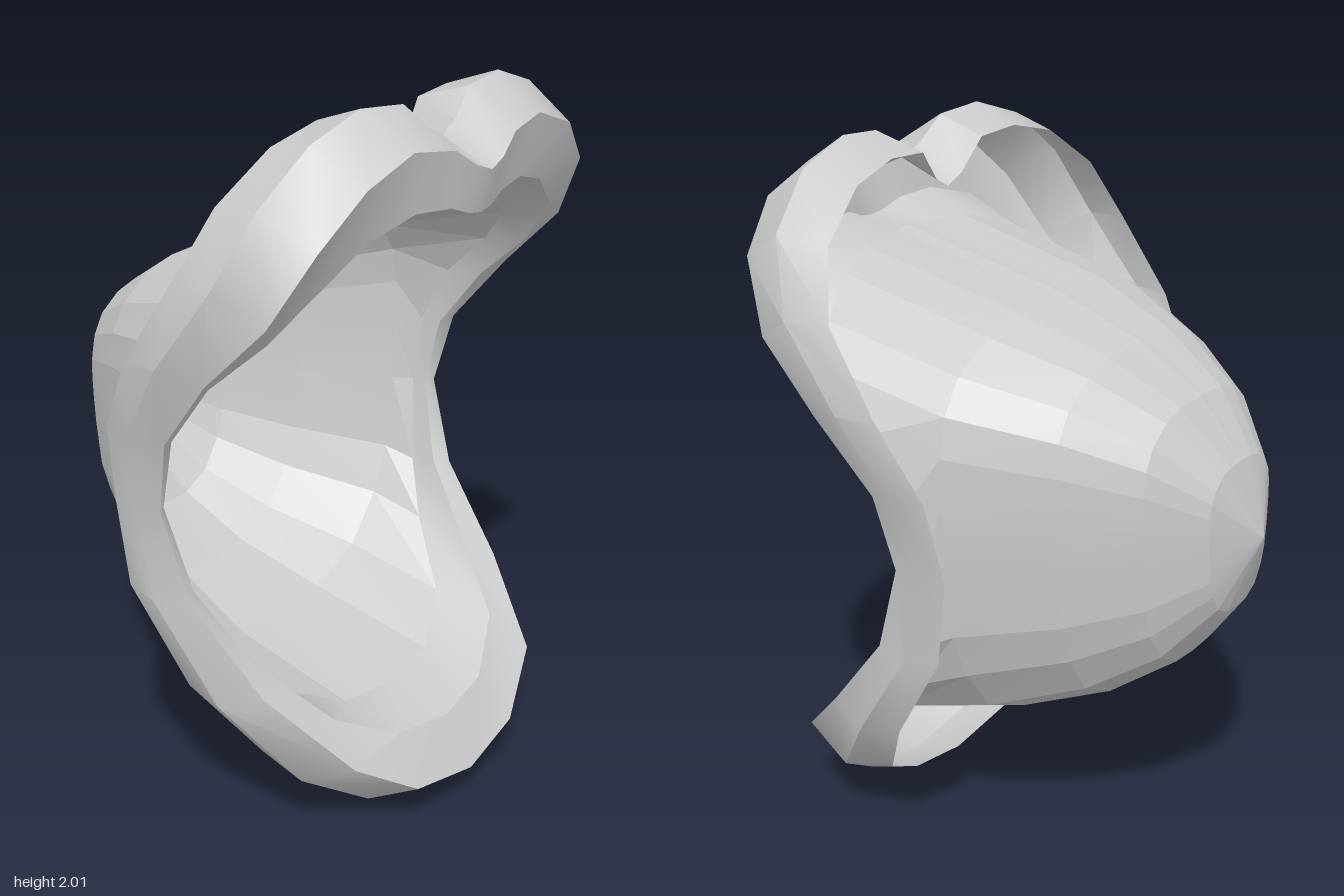
import * as THREE from 'three';
import { toCreasedNormals } from 'three/addons/utils/BufferGeometryUtils.js';

// Half rails of the lips, from bottom centre around the left side to top centre
const BACK = [
  [0, 0.04, 0.36], [0.24, 0.09, 0.34], [0.45, 0.21, 0.27], [0.59, 0.43, 0.13], [0.63, 0.7, -0.04],
  [0.64, 0.95, -0.075], [0.69, 1.18, -0.05], [0.735, 1.39, 0.06], [0.72, 1.62, 0.21], [0.63, 1.8, 0.275],
  [0.46, 1.92, 0.31], [0.29, 1.96, 0.325], [0.14, 1.95, 0.335], [0.06, 1.86, 0.35], [0, 1.83, 0.355]];
const CREST = [
  [0, 0.09, 0.67], [0.24, 0.13, 0.65], [0.44, 0.26, 0.58], [0.57, 0.46, 0.37], [0.62, 0.7, 0.165],
  [0.64, 0.95, 0.085], [0.67, 1.16, 0.13], [0.7, 1.36, 0.29], [0.68, 1.54, 0.47], [0.61, 1.73, 0.57],
  [0.47, 1.86, 0.61], [0.29, 1.92, 0.62], [0.14, 1.9, 0.64], [0.06, 1.85, 0.655], [0, 1.83, 0.66]];
const INNER = [
  [0, 0.28, 0.4], [0.2, 0.29, 0.37], [0.39, 0.38, 0.28], [0.51, 0.54, 0.13], [0.57, 0.7, 0.06],
  [0.605, 0.95, 0.03], [0.615, 1.15, 0.05], [0.615, 1.32, 0.14], [0.59, 1.45, 0.28], [0.52, 1.56, 0.38],
  [0.38, 1.65, 0.42], [0.23, 1.69, 0.47], [0.11, 1.695, 0.49], [0.05, 1.695, 0.5], [0, 1.7, 0.5]];
const CENTRE_Y = 0.98;

const closeRing = (half) => [
  ...half,
  ...half.slice(1, -1).reverse().map(([x, y, z]) => [-x, y, z]),
];

// Halfway rail between two rails, bulged radially and forward, fullest away from the mouth corners
function bulgedRail(a, b, radial, forward) {
  return a.map((p, i) => {
    const [x, y, z] = p.map((v, k) => (v + b[i][k]) / 2);
    const bulge = 0.015 + 0.06 * Math.abs(y - 0.95);
    const s = (bulge * radial) / Math.hypot(x, y - CENTRE_Y);
    return [x + x * s, y + (y - CENTRE_Y) * s, z + bulge * forward];
  });
}

// Skin closed rings in order, optionally finishing in a point
function skin(rings, crease, tip) {
  const pos = [];
  const n = rings[0].length;
  for (let r = 0; r < rings.length; r++) {
    for (let i = 0; i < n; i++) {
      const j = (i + 1) % n;
      const a = rings[r][i], b = rings[r][j];
      if (r + 1 < rings.length) {
        const c = rings[r + 1][j], d = rings[r + 1][i];
        pos.push(...a, ...b, ...c, ...a, ...c, ...d);
      } else if (tip) pos.push(...a, ...b, ...tip);
    }
  }
  const geo = new THREE.BufferGeometry();
  geo.setAttribute('position', new THREE.Float32BufferAttribute(pos, 3));
  return toCreasedNormals(geo, crease);
}

export function createModel() {
  const group = new THREE.Group();
  group.name = 'openMouth';
  const material = new THREE.MeshStandardMaterial({ color: 0xcccccc, side: THREE.DoubleSide });
  const add = (name, geo) => {
    const mesh = new THREE.Mesh(geo, material);
    mesh.name = name;
    group.add(mesh);
  };

  // Lips: an open strip curling from the back edge over the crest to the inner rim
  const rails = [BACK, bulgedRail(BACK, CREST, 1, 0), CREST, bulgedRail(CREST, INNER, -0.8, 0.8), INNER];
  add('lips', skin(rails.map(closeRing), 0.6));

  // Mouth cavity: the inner rim shrinks through flat loops to the throat point
  const loops = [ // z, half width, top, bottom
    [-0.02, 0.575, 1.58, 0.37],
    [-0.28, 0.43, 1.48, 0.47],
    [-0.47, 0.3, 1.36, 0.6],
    [-0.6, 0.17, 1.2, 0.77],
  ];
  const rim = closeRing(INNER);
  const rings = loops.map(([z, w, top, bottom]) => rim.map(([x, y]) => {
    const dy = y - CENTRE_Y;
    const sy = dy > 0 ? (top - CENTRE_Y) / (1.7 - CENTRE_Y) : (CENTRE_Y - bottom) / (CENTRE_Y - 0.28);
    return [(x * w) / 0.615, CENTRE_Y + dy * sy, z];
  }));
  add('mouthCavity', skin([rim, ...rings], 0.12, [0, 0.99, -0.675]));

  return group;
}
